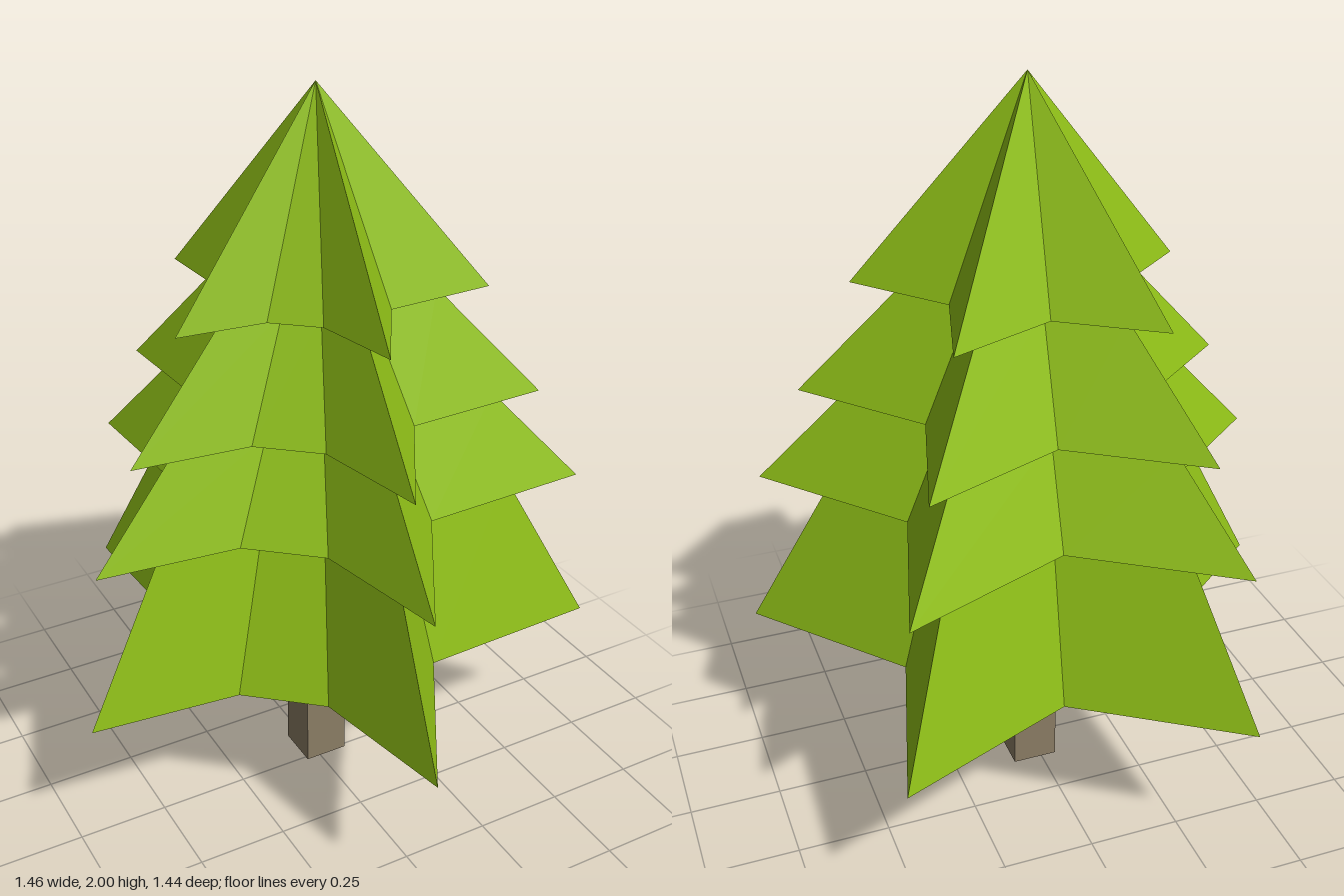
import * as THREE from 'three';

// Trunk axis and star outline of the lowest tier, as [x, z]
const AXIS = [0.02, -0.05];
const STAR = [
  [-0.36, -0.72], [0.06, -0.435], [0.54, -0.63], [0.4, -0.13], [0.73, 0.26], [0.21, 0.28],
  [-0.06, 0.72], [-0.14, 0.31], [-0.325, 0.15], [-0.73, 0.11], [-0.33, -0.21],
];

// Lofts the star outline, scaled about the axis, through [scale, y] rings
function loftStar(rings) {
  const point = (i, [scale, y]) => {
    const [x, z] = STAR[i % STAR.length];
    return [AXIS[0] + (x - AXIS[0]) * scale, y, AXIS[1] + (z - AXIS[1]) * scale];
  };
  const positions = [];
  for (let r = 0; r < rings.length - 1; r++) {
    const lower = rings[r], upper = rings[r + 1];
    for (let i = 0; i < STAR.length; i++) {
      const a = point(i, lower), b = point(i + 1, lower);
      const c = point(i, upper), d = point(i + 1, upper);
      if (lower[0] > 0) positions.push(...b, ...a, ...c);
      if (upper[0] > 0) positions.push(...b, ...c, ...d);
    }
  }
  const geometry = new THREE.BufferGeometry();
  geometry.setAttribute('position', new THREE.Float32BufferAttribute(positions, 3));
  geometry.computeVertexNormals();
  return geometry;
}

export function createModel() {
  const tree = new THREE.Group();
  tree.name = 'tree';
  const leaf = new THREE.MeshStandardMaterial({ color: 0x8ebe17, flatShading: true });
  const bark = new THREE.MeshStandardMaterial({ color: 0x8b7d65, flatShading: true });

  // Square trunk
  const trunk = new THREE.Mesh(new THREE.BoxGeometry(0.125, 0.435, 0.125), bark);
  trunk.name = 'trunk';
  trunk.position.set(AXIS[0], 0.2175, AXIS[1]);
  tree.add(trunk);

  // Branch tiers: bottom y, bottom scale, top scale
  const tiers = [
    [0.435, 1, 0.68],
    [0.885, 0.937, 0.613],
    [1.15, 0.777, 0.404],
    [1.457, 0.58, 0],
  ];
  tiers.forEach(([y, scale, topScale], k) => {
    const topY = k < tiers.length - 1 ? tiers[k + 1][0] : 2;
    const innerScale = k > 0 ? tiers[k - 1][2] : 0;
    // Flat underside out to the rim, then sloping sides
    const tier = new THREE.Mesh(loftStar([[innerScale, y], [scale, y], [topScale, topY]]), leaf);
    tier.name = `branchTier${k + 1}`;
    tree.add(tier);
  });
  return tree;
}
